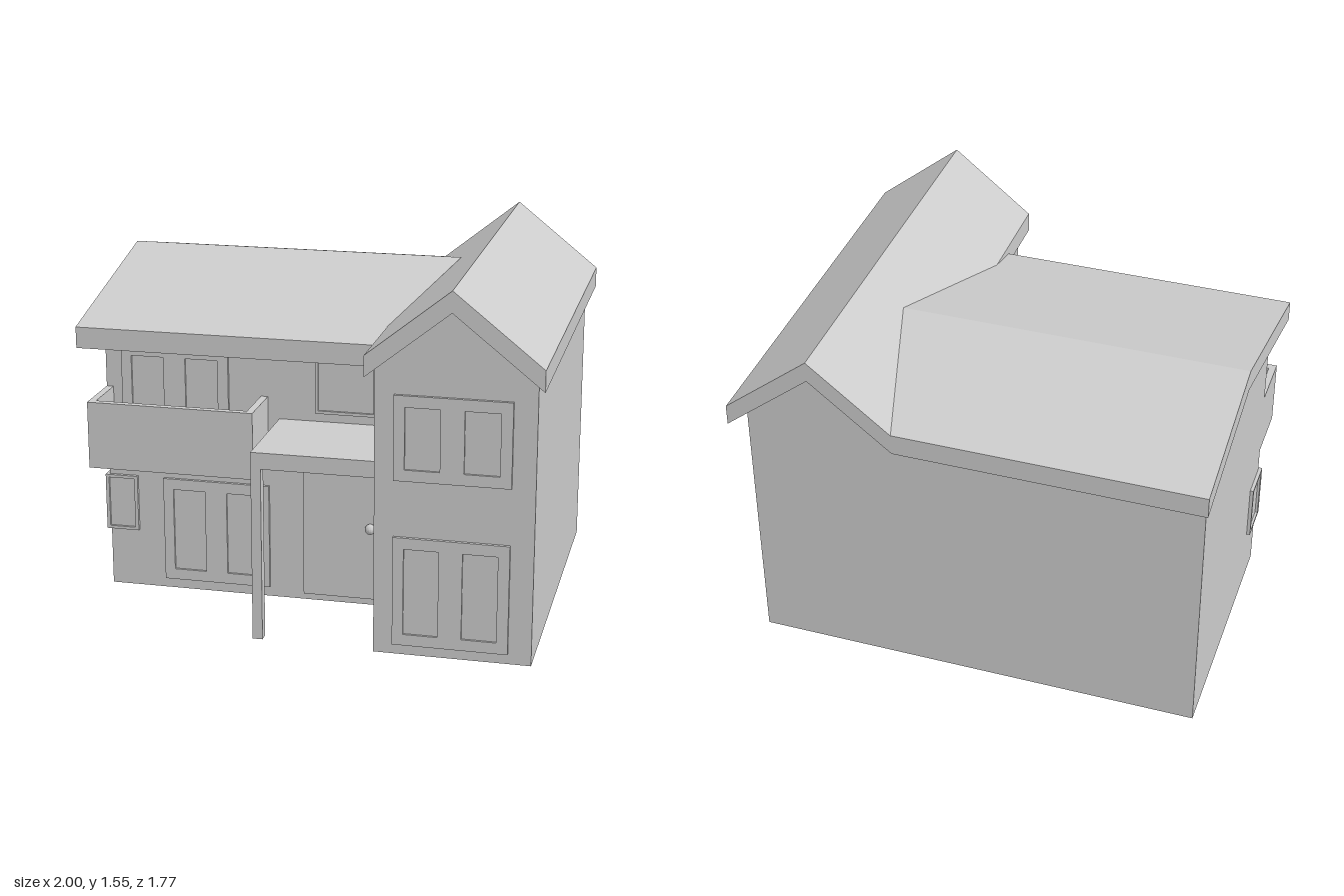
import * as THREE from 'three';

const WALL_Z = 0.32;   // front wall of the main block
const WING_Z = 0.8;    // front wall of the gabled wing
const BACK_Z = -0.775;
const PITCH = 0.8;     // slope of the wing roof

const material = new THREE.MeshStandardMaterial({ color: 0xcccccc, flatShading: true });

function add(parent, name, geometry) {
  const mesh = new THREE.Mesh(geometry, material);
  mesh.name = name;
  parent.add(mesh);
  return mesh;
}

// Box given by its limits on each axis
function box(parent, name, x0, x1, y0, y1, z0, z1) {
  const mesh = add(parent, name, new THREE.BoxGeometry(x1 - x0, y1 - y0, z1 - z0));
  mesh.position.set((x0 + x1) / 2, (y0 + y1) / 2, (z0 + z1) / 2);
  return mesh;
}

const polygon = (points) => new THREE.Shape(points.map(([x, y]) => new THREE.Vector2(x, y)));

// Profile in (x, y), running along z
function prismZ(points, z0, z1) {
  return new THREE.ExtrudeGeometry(polygon(points), { depth: z1 - z0, bevelEnabled: false }).translate(0, 0, z0);
}

// Profile in (z, y), running along x
function prismX(points, x0, x1) {
  const shape = polygon(points.map(([z, y]) => [-z, y]));
  return new THREE.ExtrudeGeometry(shape, { depth: x1 - x0, bevelEnabled: false })
    .rotateY(Math.PI / 2).translate(x0, 0, 0);
}

// Raised frame with recessed panes, facing +z
function createWindow(name, x0, x1, y0, y1, panes, depth = 0.014) {
  const group = new THREE.Group();
  group.name = name;
  const shape = polygon([[x0, y0], [x1, y0], [x1, y1], [x0, y1]]);
  for (const [a, b, c, d] of panes) {
    shape.holes.push(new THREE.Path([[a, c], [a, d], [b, d], [b, c]].map((p) => new THREE.Vector2(...p))));
    box(group, 'pane', a, b, c, d, -0.004, 0.004);
  }
  add(group, 'frame', new THREE.ExtrudeGeometry(shape, { depth, bevelEnabled: false }));
  return group;
}

// Wide window with two tall panes
function doubleWindow(name, x, y0, y1, z) {
  const panes = [0.045, 0.285].map((dx) => [x + dx, x + dx + 0.143, y0 + 0.048, y1 - 0.048]);
  const win = createWindow(name, x, x + 0.475, y0, y1, panes);
  win.position.z = z;
  return win;
}

export function createModel() {
  const house = new THREE.Group();
  house.name = 'house';

  // Walls, each block rising to the underside of its roof
  add(house, 'mainWalls', prismX([
    [WALL_Z, 0], [WALL_Z, 1.212], [-0.23, 1.338], [BACK_Z, 1.213], [BACK_Z, 0],
  ], -0.97, 0.315));
  add(house, 'wingWalls', prismZ([
    [0.315, 0], [0.965, 0], [0.965, 1.199], [0.635, 1.463], [0.315, 1.207],
  ], BACK_Z, WING_Z));

  // Main roof: its right end is slid along x to meet the slope of the wing roof
  const top = [[0.59, 1.24], [0.43, 1.278], [-0.23, 1.43], [-0.885, 1.28]];
  const under = top.map(([z, y]) => [z, y - 0.09]).reverse();
  const mainRoof = prismX([...top, ...under], -1, 0.29);
  const pos = mainRoof.attributes.position;
  for (let i = 0; i < pos.count; i++) {
    if (pos.getX(i) > 0) pos.setX(i, 0.29 + Math.max(0, pos.getY(i) - 1.28) / PITCH);
  }
  mainRoof.computeVertexNormals();
  add(house, 'mainRoof', mainRoof);

  // Wing roof
  const ridge = [0.635, 1.555];
  const slope = [0.29, ridge[0], 1].map((x) => [x, ridge[1] - Math.abs(x - ridge[0]) * PITCH]);
  const slopeUnder = slope.map(([x, y]) => [x, y - 0.088]).reverse();
  add(house, 'wingRoof', prismZ([...slope, ...slopeUnder], -0.885, 0.885));

  // Front windows
  house.add(doubleWindow('wingLowerWindow', 0.395, 0.045, 0.51, WING_Z));
  house.add(doubleWindow('wingUpperWindow', 0.395, 0.75, 1.105, WING_Z));
  house.add(doubleWindow('mainLowerWindow', -0.722, 0.045, 0.51, WALL_Z));
  house.add(doubleWindow('balconyWindow', -0.896, 0.75, 1.105, WALL_Z));
  const landing = createWindow('landingWindow', -0.04, 0.225, 0.853, 1.105, [[-0.027, 0.212, 0.866, 1.092]]);
  landing.position.z = WALL_Z;
  house.add(landing);

  // Window wrapping the front corner, one half on each wall
  const corner = new THREE.Group();
  corner.name = 'cornerWindow';
  const frontHalf = createWindow('frontHalf', -0.985, -0.84, 0.26, 0.51, [[-0.97, -0.855, 0.273, 0.497]], 0.015);
  frontHalf.position.z = WALL_Z;
  const sideHalf = createWindow('sideHalf', 0.16, WALL_Z, 0.26, 0.51, [[0.175, 0.31, 0.273, 0.497]], 0.015);
  sideHalf.rotation.y = -Math.PI / 2;
  sideHalf.position.x = -0.97;
  corner.add(frontHalf, sideHalf);
  house.add(corner);

  // Balcony
  const balcony = new THREE.Group();
  balcony.name = 'balcony';
  const balconyFront = 0.57, rail = 0.03;
  box(balcony, 'floor', -0.97 + rail, -0.25 - rail, 0.62, 0.66, WALL_Z, balconyFront - rail);
  box(balcony, 'frontParapet', -0.97, -0.25, 0.62, 0.91, balconyFront - rail, balconyFront);
  for (const x of [-0.97, -0.25 - rail]) {
    box(balcony, 'sideParapet', x, x + rail, 0.62, 0.91, WALL_Z, balconyFront - rail);
  }
  house.add(balcony);

  // Porch
  const porch = new THREE.Group();
  porch.name = 'porch';
  box(porch, 'porchRoof', -0.2, 0.315, 0.745, 0.815, WALL_Z, 0.785);
  box(porch, 'porchPost', -0.2, -0.158, 0, 0.745, 0.743, 0.785);
  house.add(porch);

  // Door
  const door = new THREE.Group();
  door.name = 'door';
  box(door, 'doorPanel', -0.095, 0.275, 0.03, 0.682, WALL_Z - 0.01, WALL_Z + 0.012);
  const knob = add(door, 'doorKnob', new THREE.SphereGeometry(0.023, 16, 12));
  knob.position.set(0.203, 0.357, WALL_Z + 0.028);
  house.add(door);

  return house;
}
